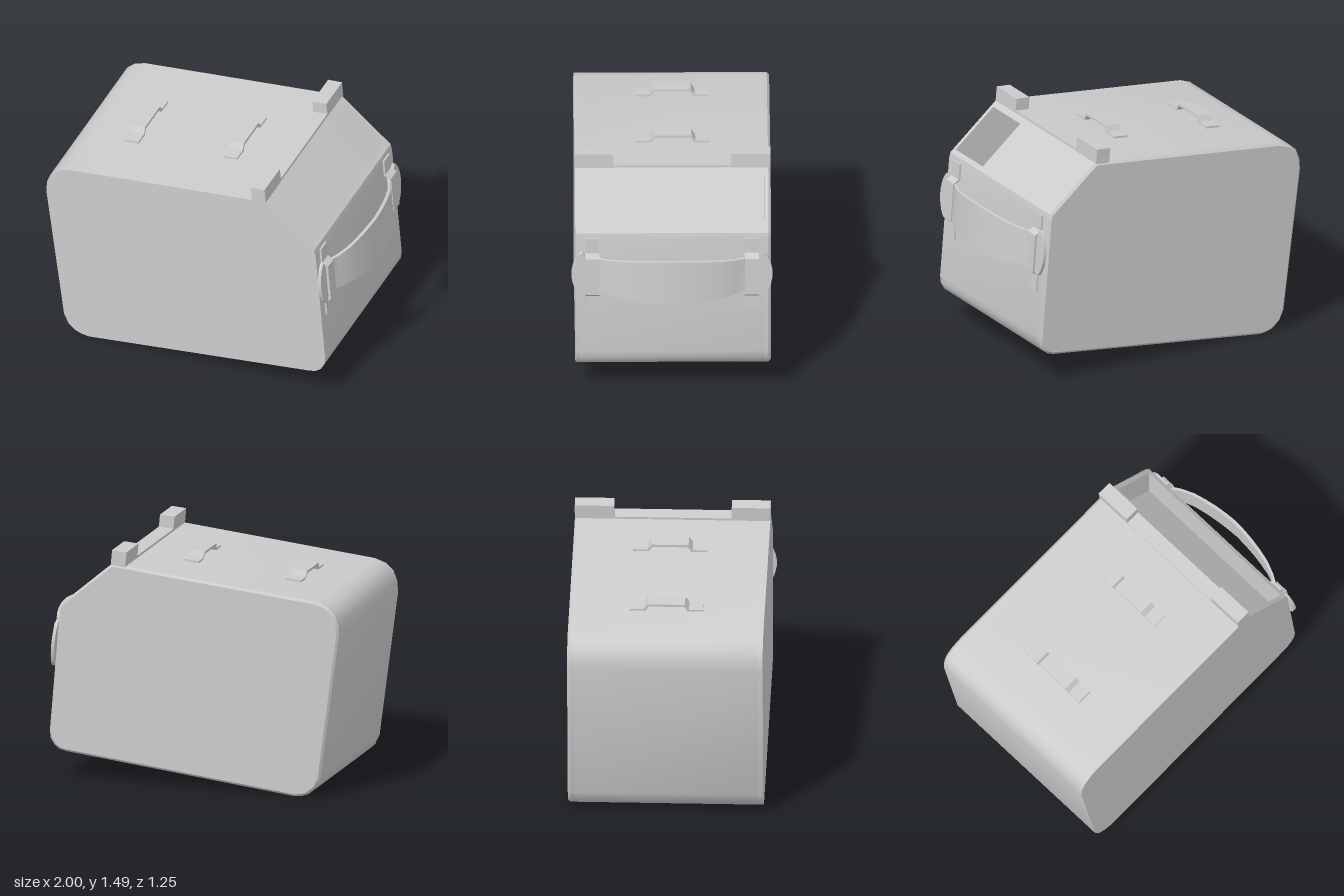
import * as THREE from 'three';
import { toCreasedNormals } from 'three/addons/utils/BufferGeometryUtils.js';

const grey = new THREE.MeshStandardMaterial({ color: 0xcccccc });
grey.name = 'plain grey';

function mesh(name, geometry, parent, crease = 0.6) {
  const m = new THREE.Mesh(toCreasedNormals(geometry, crease), grey);
  m.name = name;
  parent.add(m);
  return m;
}

// Extrude an outline between two z values
function slab(points, z0, z1) {
  const shape = new THREE.Shape(points.map(p => new THREE.Vector2(...p)));
  return new THREE.ExtrudeGeometry(shape, { depth: z1 - z0, bevelEnabled: false }).translate(0, 0, z0);
}

// Bracket: two flat feet joined by a raised bridge, lying along x and rising in y
function bracket(length, width, foot) {
  const a = length / 2, b = a - foot, c = b - 0.025, t = 0.012, h = 0.048;
  return slab([[-a, 0], [-a, t], [-b, t], [-c, h], [c, h], [b, t], [a, t], [a, 0],
    [b - 0.01, 0], [c - 0.005, h - 0.016], [-c + 0.005, h - 0.016], [-b + 0.01, 0]], -width / 2, width / 2);
}

// Side outline: from the top front edge, over the top and round to the front face
const outline = [[0.48, 1.4], [0.39, 1.39], [-0.85, 1.255], [-0.92, 1.23], [-0.97, 1.185], [-0.995, 1.12],
  [-1, 1.05], [-0.88, 0.13], [-0.85, 0.065], [-0.8, 0.022], [-0.76, 0.008], [-0.71, 0.002], [0.78, 0.18],
  [0.82, 0.19], [0.855, 0.215], [0.88, 0.26], [0.885, 0.31], [0.82, 1.08], [0.81, 1.12]];
// Recess cut into the sloping face
const recess = [[0.785, 1.14], [0.785, 0.82], [0.18, 1.335], [0.515, 1.37]];

// Strap stations: z, x, half height
const half = [[0, 0.977, 0.147], [0.08, 0.972, 0.145], [0.16, 0.963, 0.14], [0.24, 0.949, 0.133], [0.32, 0.93, 0.125],
  [0.4, 0.897, 0.115], [0.45, 0.868, 0.11], [0.535, 0.859, 0.108], [0.552, 0.859, 0.147], [0.575, 0.859, 0.14],
  [0.6, 0.859, 0.105], [0.615, 0.859, 0.065], [0.624, 0.859, 0.02]];

function strapGeometry() {
  const stations = [...half.slice(1).reverse().map(([z, x, h]) => [-z, x, h]), ...half];
  const n = stations.length - 1;
  const g = new THREE.BoxGeometry(1, 1, 1, 1, 1, n);
  const p = g.attributes.position;
  for (let i = 0; i < p.count; i++) {
    const [z, x, h] = stations[Math.round((p.getZ(i) + 0.5) * n)];
    const y = p.getY(i) * 2 * h;
    p.setXYZ(i, x + p.getX(i) * 0.02 - y * 0.09, 0.858 + y, z);
  }
  return g;
}

export function createModel() {
  const model = new THREE.Group();
  model.name = 'case';

  // Body with recessed opening
  const body = new THREE.Group();
  body.name = 'body';
  model.add(body);
  mesh('bodyMiddle', slab([...outline, ...recess], -0.575, 0.575), body);
  mesh('frontSide', slab(outline, 0.575, 0.6), body);
  mesh('backSide', slab(outline, -0.6, -0.575), body);

  // Thin bevelled back panel
  const shape = new THREE.Shape(outline.map(p => new THREE.Vector2(...p)));
  mesh('backPanel', new THREE.ExtrudeGeometry(shape, {
    depth: 0.001, bevelThickness: 0.015, bevelSize: 0.015, bevelOffset: -0.015, bevelSegments: 1,
  }).translate(0, 0, -0.6), body);

  // Raised rail with a block at each end
  const block = [[0.389, 1.385], [0.381, 1.482], [0.475, 1.49], [0.484, 1.395]];
  const rail = [[0.389, 1.385], [0.387, 1.404], [0.481, 1.414], [0.483, 1.395]];
  mesh('rail', slab(rail, -0.37, 0.36), model);
  mesh('frontBlock', slab(block, 0.36, 0.6), model);
  mesh('backBlock', slab(block, -0.615, -0.37), model);

  // Brackets on the top
  for (const x of [-0.587, 0.08]) {
    const m = mesh('topBracket', bracket(0.46, 0.096, 0.09), model, 0.3);
    m.position.set(x, 1.255 + 0.109 * (x + 0.85), -0.01);
    m.rotation.set(0, -Math.PI / 2, 0.109, 'ZYX');
  }

  // Carrying strap held by two clips
  mesh('strap', strapGeometry(), model, 0.7);
  for (const z of [-0.495, 0.495]) {
    const m = mesh('strapClip', bracket(0.496, 0.087, 0.1), model, 0.3);
    m.position.set(0.84, 0.845, z);
    m.rotation.z = -Math.PI / 2 + 0.084;
  }
  return model;
}
